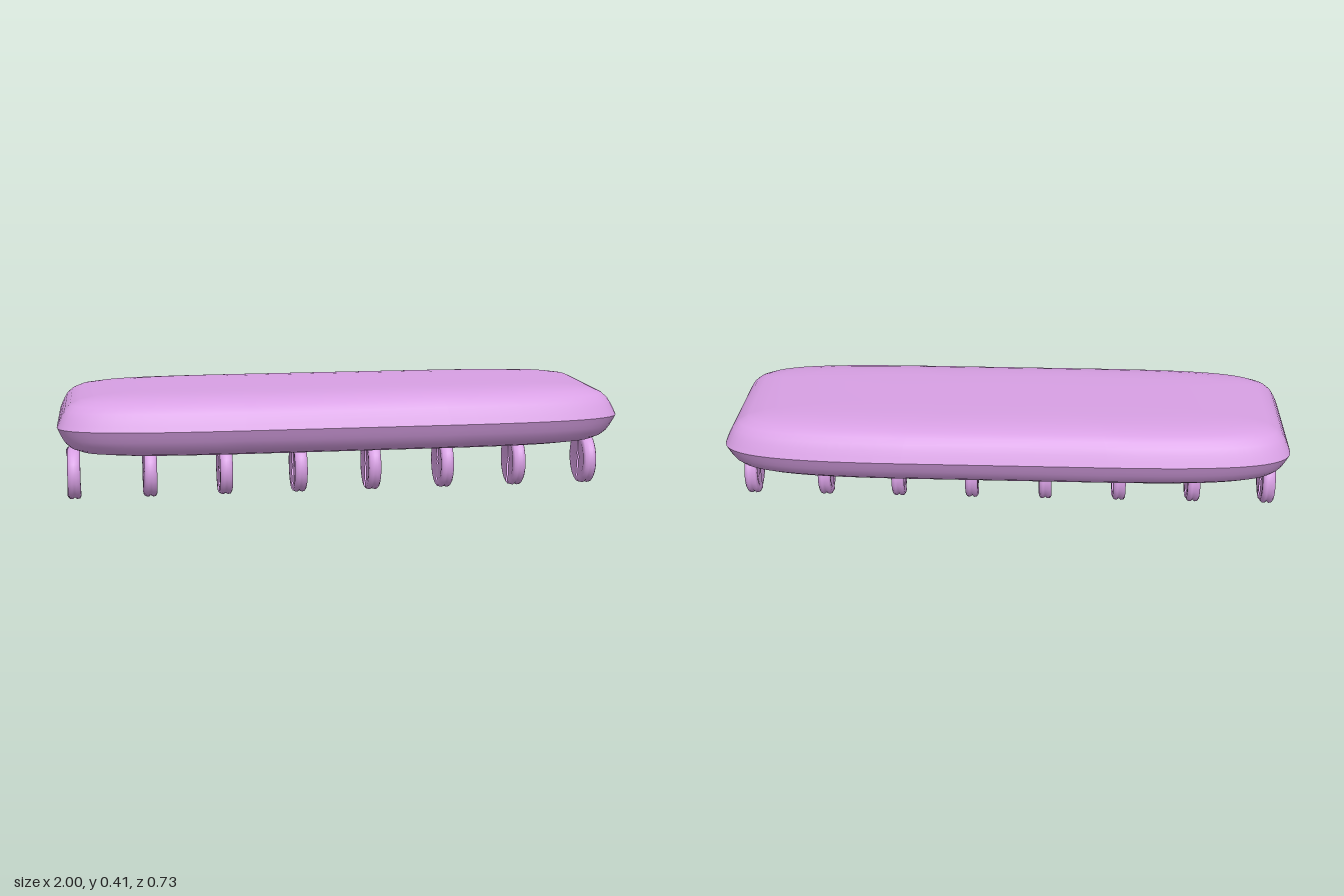
import * as THREE from 'three';

const material = new THREE.MeshStandardMaterial({ color: 0xd8a0e4, side: THREE.DoubleSide });

// Plan outline of the deck: one rounded corner mirrored into four
function planOutline() {
  const corner = new THREE.CubicBezierCurve(
    new THREE.Vector2(1, 0.2), new THREE.Vector2(1, 0.32),
    new THREE.Vector2(0.84, 0.363), new THREE.Vector2(0.36, 0.363)
  ).getPoints(14);
  const mirrored = [...corner].reverse();
  return [
    ...corner,
    ...mirrored.map((p) => new THREE.Vector2(-p.x, p.y)),
    ...corner.map((p) => new THREE.Vector2(-p.x, -p.y)),
    ...mirrored.map((p) => new THREE.Vector2(p.x, -p.y)),
  ];
}

// Half of the cushion-shaped deck: shrinking rings from the ridge to the flat face
function deckHalf(dir) {
  // half length, half width, height above the ridge
  const rings = [
    [1, 0.363, 0], [0.992, 0.354, 0.02], [0.983, 0.345, 0.039], [0.972, 0.334, 0.058],
    [0.953, 0.319, 0.076], [0.92, 0.297, 0.091], [0.86, 0.265, 0.101],
    [0.76, 0.225, 0.107], [0.6, 0.17, 0.11], [0.3, 0.09, 0.11], [0, 0, 0.11],
  ];
  const outline = planOutline();
  const n = outline.length;
  const positions = [];
  const index = [];
  rings.forEach(([hx, hz, h], j) => {
    outline.forEach((p, i) => {
      positions.push(p.x * hx, 0.303 + dir * h, p.y * hz / 0.363);
      if (j === rings.length - 1) return;
      const a = j * n + i;
      const b = j * n + (i + 1) % n;
      const c = a + n;
      const d = b + n;
      if (dir > 0) index.push(a, c, b, b, c, d);
      else index.push(a, b, c, b, d, c);
    });
  });
  const geometry = new THREE.BufferGeometry();
  geometry.setAttribute('position', new THREE.Float32BufferAttribute(positions, 3));
  geometry.setIndex(index);
  geometry.computeVertexNormals();
  return geometry;
}

// Half of a thin roller with dished faces and a grooved rim, axis along x
function rollerHalf(start) {
  const profile = [
    [0, -0.016], [0.012, -0.02], [0.06, -0.02], [0.072, -0.023], [0.086, -0.023],
    [0.094, -0.018], [0.096, -0.008], [0.09, 0], [0.096, 0.008], [0.094, 0.018],
    [0.086, 0.023], [0.072, 0.023], [0.06, 0.02], [0.012, 0.02], [0, 0.016],
  ].map(([r, y]) => new THREE.Vector2(r, y));
  return new THREE.LatheGeometry(profile, 12, start, Math.PI).rotateZ(-Math.PI / 2);
}

export function createModel() {
  const model = new THREE.Group();
  const add = (parent, name, geometry) => {
    const mesh = new THREE.Mesh(geometry, material);
    mesh.name = name;
    parent.add(mesh);
    return mesh;
  };

  // Deck
  add(model, 'deckTop', deckHalf(1));
  add(model, 'deckBottom', deckHalf(-1));

  // Row of eight rollers along the middle, each split into two slightly offset halves
  const front = rollerHalf(-Math.PI / 2);
  const back = rollerHalf(Math.PI / 2);
  for (let i = 0; i < 8; i++) {
    const roller = new THREE.Group();
    roller.name = 'roller' + (i + 1);
    roller.position.set(-0.953 + i * 0.2723, 0.097, 0);
    add(roller, 'rollerFrontHalf', front).position.x = 0.002;
    add(roller, 'rollerBackHalf', back).position.x = -0.002;
    model.add(roller);
  }
  return model;
}
